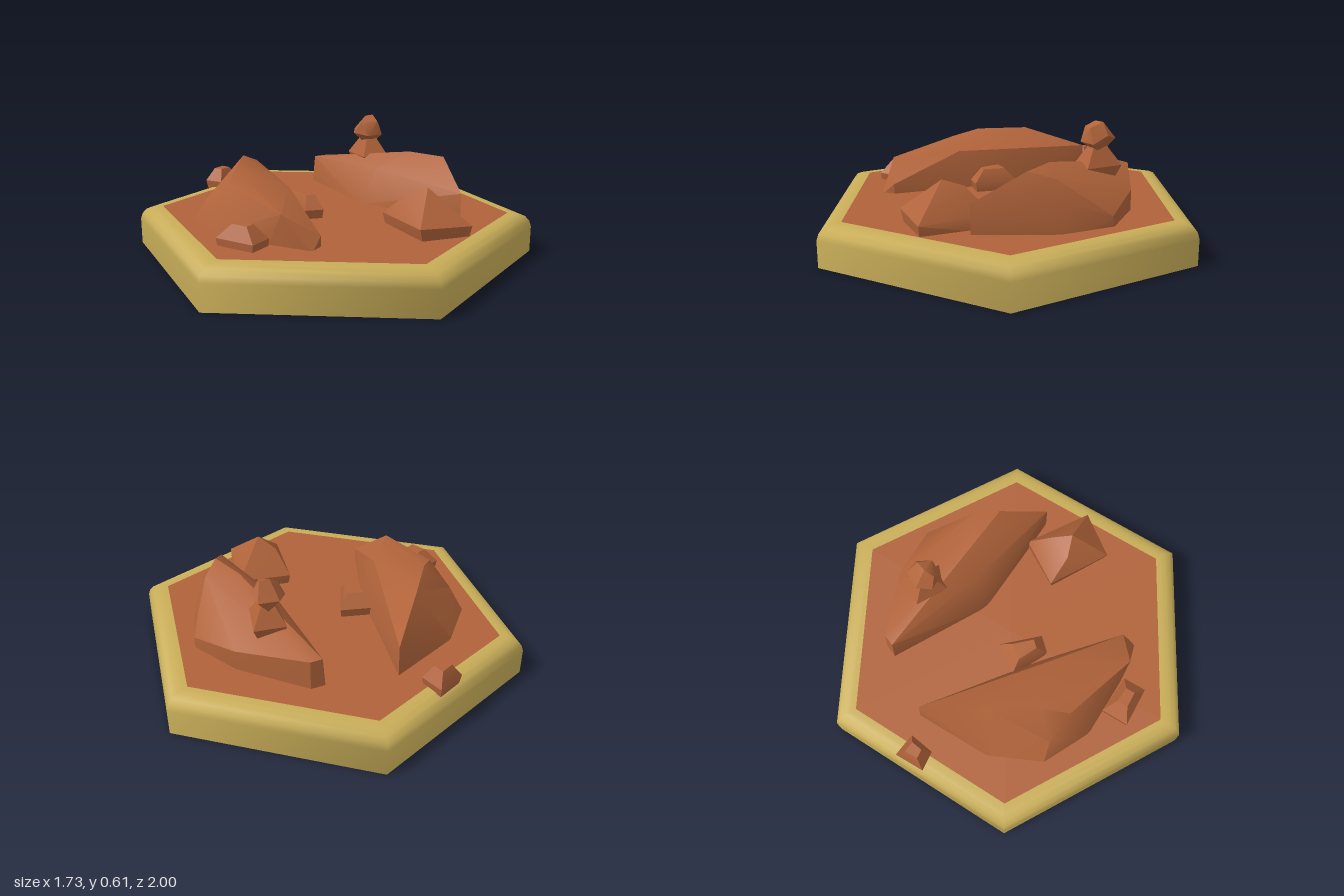
import * as THREE from 'three';
import { ConvexGeometry } from 'three/addons/geometries/ConvexGeometry.js';
import { toCreasedNormals } from 'three/addons/utils/BufferGeometryUtils.js';

const sand = new THREE.MeshStandardMaterial({ name: 'sand', color: 0xc8ad58 });
const clay = new THREE.MeshStandardMaterial({ name: 'clay', color: 0xb0633a });

const BASE = 0.19; // rocks sink slightly into the ground

function mesh(name, geometry, material) {
  const m = new THREE.Mesh(geometry, material);
  m.name = name;
  return m;
}

// Faceted rock: hull of [x, y, z] points, softened across shallow creases
function rock(name, points) {
  const hull = new ConvexGeometry(points.map((p) => new THREE.Vector3(...p)));
  return mesh(name, toCreasedNormals(hull, 0.6), clay);
}

// Small stone: a four-cornered outline [x, z], widest at yMid, pulled in above and below
function stone(name, corners, yLow, yMid, yTop, lowScale = 0.9, topScale = 0.5) {
  const cx = corners.reduce((s, c) => s + c[0], 0) / corners.length;
  const cz = corners.reduce((s, c) => s + c[1], 0) / corners.length;
  const points = [];
  for (const [y, k] of [[yLow, lowScale], [yMid, 1], [yTop, topScale]]) {
    for (const [x, z] of corners) points.push([cx + (x - cx) * k, y, cz + (z - cz) * k]);
  }
  return rock(name, points);
}

const footprint = (corners) => corners.map(([x, z]) => [x, BASE, z]);

export function createModel() {
  const group = new THREE.Group();
  group.name = 'rockyHexTile';

  // Hexagonal rim with a rounded shoulder
  const profile = [[1, 0], [1, 0.13], [0.99, 0.16], [0.968, 0.184], [0.935, 0.197], [0.905, 0.2], [0.88, 0.2]]
    .map(([r, y]) => new THREE.Vector2(r, y));
  group.add(mesh('rim', new THREE.LatheGeometry(profile, 6), sand));

  // Ground inset and underside
  const ground = mesh('ground', new THREE.CircleGeometry(0.88, 6, Math.PI / 2), clay);
  ground.rotation.x = -Math.PI / 2;
  ground.position.y = 0.2;
  const underside = mesh('underside', new THREE.CircleGeometry(1, 6, Math.PI / 2), clay);
  underside.rotation.x = Math.PI / 2;
  group.add(ground, underside);

  // Long ridge on the -x side
  group.add(rock('rightRidge', [
    ...footprint([[-0.18, -0.61], [-0.53, -0.4], [-0.68, -0.18], [-0.66, 0.08], [-0.5, 0.36],
      [-0.36, 0.53], [-0.3, 0.49], [-0.21, 0.07]]),
    [-0.18, 0.35, -0.6], [-0.355, 0.45, -0.33], [-0.48, 0.445, -0.1], [-0.56, 0.4, 0.02],
    [-0.62, 0.31, -0.12], [-0.46, 0.35, 0.42], [-0.3, 0.25, 0.49], [-0.29, 0.38, 0.12],
  ]));

  // Shorter ridge on the +x side
  group.add(rock('leftRidge', [
    ...footprint([[0.16, -0.59], [0.23, -0.6], [0.53, -0.37], [0.69, -0.15], [0.66, 0.12],
      [0.46, 0.46], [0.37, 0.3], [0.18, -0.05]]),
    [0.46, 0.34, 0.46], [0.52, 0.465, 0.21], [0.43, 0.465, 0.03], [0.59, 0.43, 0.1],
    [0.63, 0.34, 0.1], [0.69, 0.25, -0.14], [0.53, 0.3, -0.37], [0.36, 0.37, -0.3],
    [0.28, 0.37, -0.05], [0.17, 0.34, -0.58], [0.23, 0.34, -0.59],
  ]));

  // Pointed boulder in front of the left ridge
  group.add(rock('frontBoulder', [
    ...footprint([[0.13, 0.31], [0.38, 0.31], [0.41, 0.4], [0.37, 0.66], [0.14, 0.63]]),
    [0.12, 0.25, 0.3], [0.12, 0.26, 0.64], [0.38, 0.25, 0.67], [0.39, 0.25, 0.31],
    [0.17, 0.355, 0.42], [0.25, 0.405, 0.49], [0.3, 0.375, 0.4],
  ]));

  // Loose stones
  group.add(
    stone('middleStone', [[-0.22, -0.11], [-0.05, -0.09], [-0.11, 0.12], [-0.2, 0.1]], BASE, 0.245, 0.31),
    stone('sideStone', [[-0.71, 0.27], [-0.59, 0.2], [-0.5, 0.38], [-0.6, 0.44]], BASE, 0.235, 0.3, 0.95, 0.4),
    stone('backStone', [[-0.44, -0.72], [-0.31, -0.8], [-0.26, -0.69], [-0.38, -0.64]], BASE, 0.235, 0.3, 0.9, 0.45),
  );

  // Two balanced stones on the left ridge
  group.add(
    stone('lowerStackStone', [[0.285, -0.38], [0.44, -0.38], [0.425, -0.19], [0.29, -0.21]], 0.33, 0.4, 0.49, 0.7, 0.4),
    rock('upperStackStone', [
      [0.34, 0.46, -0.3], [0.39, 0.47, -0.27], [0.36, 0.47, -0.34], [0.27, 0.52, -0.29],
      [0.32, 0.51, -0.22], [0.41, 0.51, -0.23], [0.43, 0.55, -0.3], [0.41, 0.53, -0.36],
      [0.31, 0.53, -0.36], [0.3, 0.58, -0.26], [0.34, 0.61, -0.29], [0.39, 0.61, -0.3], [0.38, 0.585, -0.23],
    ]),
  );

  return group;
}
